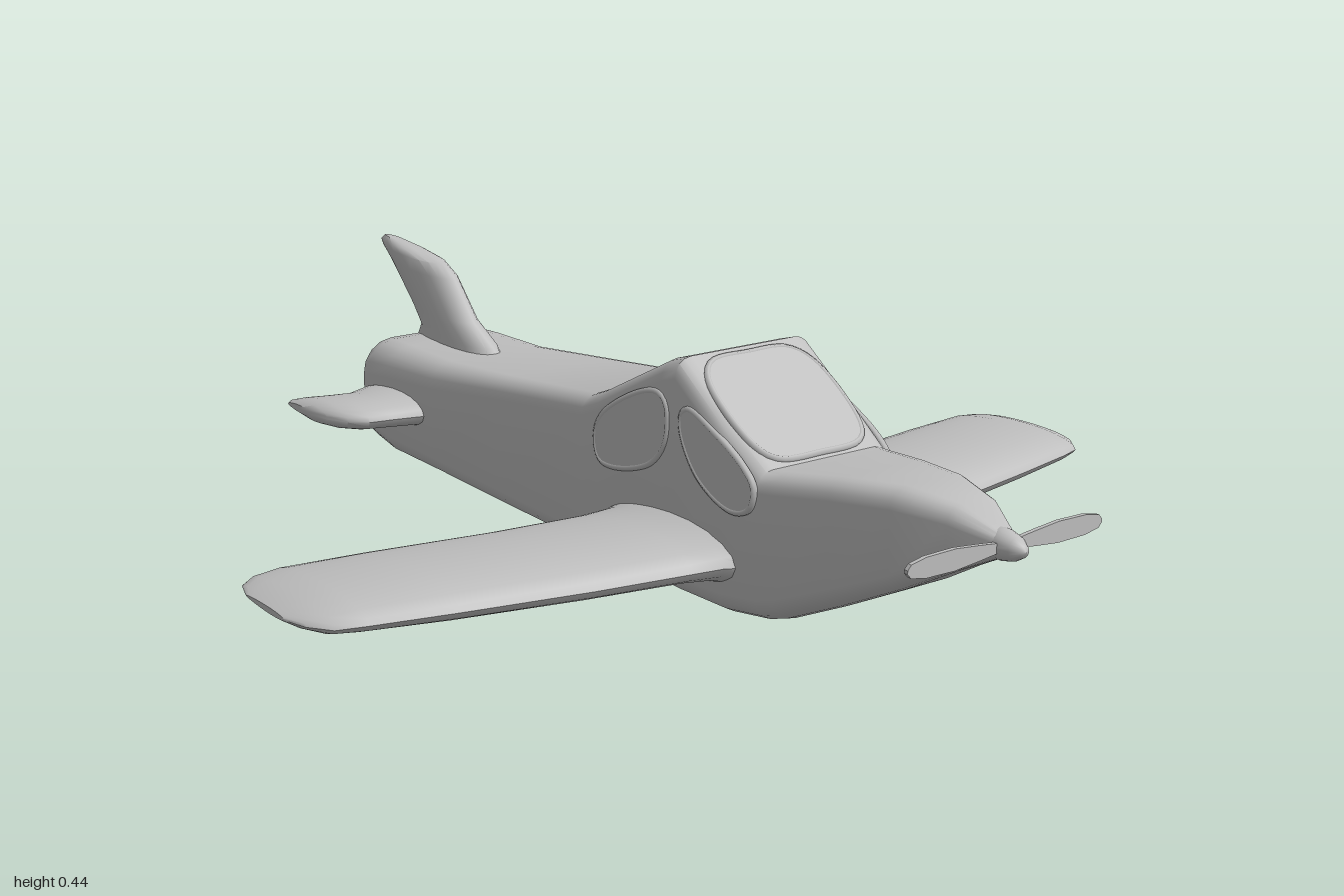
import * as THREE from 'three';
import { toCreasedNormals } from 'three/addons/utils/BufferGeometryUtils.js';

const grey = new THREE.MeshStandardMaterial({ color: 0xbfbfbf });
grey.name = 'grey';

function part(name, geometry) {
  const mesh = new THREE.Mesh(geometry, grey);
  mesh.name = name;
  return mesh;
}

// Closed skin through rings of points, capped at both ends and turned outward
function loft(rings, crease = 0.6) {
  const n = rings[0].length;
  const tris = [];
  for (let i = 0; i + 1 < rings.length; i++) {
    for (let j = 0; j < n; j++) {
      const k = (j + 1) % n;
      const [a, b, c, d] = [rings[i][j], rings[i][k], rings[i + 1][k], rings[i + 1][j]];
      tris.push([a, b, c], [a, c, d]);
    }
  }
  for (const [ring, last] of [[rings[0], false], [rings[rings.length - 1], true]]) {
    const mid = ring.reduce((s, p) => s.add(p), new THREE.Vector3()).divideScalar(n);
    for (let j = 0; j < n; j++) {
      const k = (j + 1) % n;
      tris.push(last ? [mid, ring[j], ring[k]] : [mid, ring[k], ring[j]]);
    }
  }
  const cross = new THREE.Vector3();
  const volume = tris.reduce((v, [a, b, c]) => v + a.dot(cross.crossVectors(b, c)), 0);
  const pts = tris.flatMap(([a, b, c]) => (volume < 0 ? [a, c, b] : [a, b, c]));
  return toCreasedNormals(new THREE.BufferGeometry().setFromPoints(pts), crease);
}

// Fuselage section: box with a wide lower chamfer and rounded upper corners
function hullRing([z, w, y0, y1, cb, ct]) {
  const half = [];
  const corner = (cx, cy, r, ry, from) => {
    for (let i = 0; i <= 4; i++) {
      const a = from + (i / 4) * Math.PI / 2;
      half.push([cx + r * Math.cos(a), cy + ry * Math.sin(a)]);
    }
  };
  corner(w - cb, y0 + cb * 0.8, cb, cb * 0.8, -Math.PI / 2);
  corner(w - ct, y1 - ct, ct, ct, 0);
  const other = half.map(([x, y]) => [-x, y]).reverse();
  return [...half, ...other].map(([x, y]) => new THREE.Vector3(x, y, z));
}

// Lens-shaped section between a rear and a front edge, thicker toward the front
function foil(rear, front, low, high, place) {
  const ring = [];
  for (let i = 0; i < 20; i++) {
    const a = (i / 20) * Math.PI * 2;
    const c = Math.cos(a);
    const along = (rear + front) / 2 + c * (front - rear) / 2;
    const across = (low + high) / 2 + Math.sin(a) * (0.9 + 0.2 * c) * (high - low) / 2;
    ring.push(place(along, across));
  }
  return ring;
}

// Sideways surface from rows of [x, rear z, front z, low y, high y]
const surface = (rows, side) => loft(rows.map(([x, rear, front, low, high]) =>
  foil(rear, front, low, high, (z, y) => new THREE.Vector3(side * x, y, z))), 0.8);

// Thin pane with a raised rounded frame
function pane(name, points) {
  const group = new THREE.Group();
  group.name = name;
  const curve = new THREE.CatmullRomCurve3(points.map(([x, y]) => new THREE.Vector3(x, y, 0)), true);
  const outline = curve.getPoints(48).slice(0, -1).map((p) => new THREE.Vector2(p.x, p.y));
  const glass = new THREE.ExtrudeGeometry(new THREE.Shape(outline), { depth: 0.005, bevelEnabled: false });
  group.add(part('pane', glass), part('frame', new THREE.TubeGeometry(curve, 60, 0.007, 6, true)));
  return group;
}

export function createModel() {
  const plane = new THREE.Group();
  plane.name = 'airplane';

  // Fuselage rows: z, half width, bottom, top, lower corner, upper corner
  const hull = [
    [0.955, 0.022, 0.24, 0.28, 0.015, 0.015],
    [0.88, 0.056, 0.2, 0.312, 0.03, 0.03],
    [0.78, 0.085, 0.142, 0.32, 0.04, 0.035],
    [0.66, 0.113, 0.08, 0.308, 0.05, 0.035],
    [0.55, 0.138, 0.028, 0.292, 0.055, 0.035],
    [0.515, 0.146, 0.018, 0.288, 0.055, 0.035],
    [0.42, 0.15, 0.003, 0.35, 0.055, 0.035],
    [0.29, 0.15, 0, 0.436, 0.05, 0.035],
    [0.25, 0.15, 0, 0.424, 0.05, 0.035],
    [0.05, 0.15, 0, 0.322, 0.05, 0.035],
    [0, 0.15, 0, 0.302, 0.05, 0.035],
    [-0.3, 0.15, 0.001, 0.267, 0.05, 0.04],
    [-0.55, 0.15, 0.003, 0.24, 0.05, 0.05],
    [-0.72, 0.155, 0.006, 0.236, 0.05, 0.06],
    [-0.8, 0.155, 0.015, 0.232, 0.06, 0.065],
    [-0.835, 0.147, 0.03, 0.226, 0.06, 0.07],
    [-0.858, 0.12, 0.05, 0.215, 0.06, 0.065],
    [-0.868, 0.08, 0.08, 0.195, 0.05, 0.05],
  ];
  plane.add(part('fuselage', loft(hull.map(hullRing))));

  // Wings, tailplanes and side windows on both sides
  const wing = [
    [0.12, 0.08, 0.48, 0.04, 0.17], [0.165, 0.095, 0.455, 0.055, 0.155],
    [0.22, 0.09, 0.44, 0.06, 0.145], [0.4, 0.07, 0.41, 0.062, 0.142],
    [0.63, 0.028, 0.36, 0.064, 0.138], [0.78, 0.008, 0.325, 0.07, 0.132],
    [0.83, 0.01, 0.305, 0.075, 0.122], [0.86, 0.035, 0.265, 0.085, 0.112],
    [0.875, 0.08, 0.22, 0.093, 0.105],
  ];
  const tail = [
    [0.1, -0.83, -0.56, 0.08, 0.165], [0.16, -0.82, -0.58, 0.088, 0.16],
    [0.21, -0.8, -0.597, 0.09, 0.155], [0.26, -0.818, -0.608, 0.092, 0.152],
    [0.295, -0.835, -0.635, 0.096, 0.148], [0.318, -0.845, -0.68, 0.102, 0.14],
    [0.328, -0.835, -0.73, 0.112, 0.13],
  ];
  const frontWindow = [[0.51, 0.262], [0.48, 0.292], [0.4, 0.332], [0.33, 0.355], [0.31, 0.34],
    [0.312, 0.305], [0.36, 0.24], [0.45, 0.206], [0.5, 0.222]];
  const rearWindow = [[0.265, 0.345], [0.245, 0.364], [0.195, 0.356], [0.07, 0.284], [0.046, 0.24],
    [0.057, 0.2], [0.1, 0.194], [0.22, 0.232], [0.262, 0.283]];
  for (const side of [1, -1]) {
    const label = side > 0 ? 'left' : 'right';
    plane.add(part(label + 'Wing', surface(wing, side)), part(label + 'Tailplane', surface(tail, side)));
    for (const [name, outline] of [['FrontWindow', frontWindow], ['RearWindow', rearWindow]]) {
      const window = pane(label + name, outline.map(([z, y]) => [-side * z, y]));
      window.rotation.y = side * Math.PI / 2;
      window.position.x = side * 0.148;
      plane.add(window);
    }
  }

  // Windscreen lying on the sloping cabin front
  const screen = pane('windscreen', [[-0.115, -0.08], [-0.09, -0.115], [0, -0.122], [0.09, -0.115],
    [0.115, -0.08], [0.116, 0.07], [0.085, 0.112], [0, 0.118], [-0.085, 0.112], [-0.116, 0.07]]);
  screen.rotation.x = -0.995;
  screen.position.set(0, 0.362, 0.402);
  plane.add(screen);

  // Swept fin rows: y, rear z, front z, half thickness
  const fin = [[0.2, -0.86, -0.5, 0.045], [0.25, -0.83, -0.545, 0.042], [0.29, -0.865, -0.62, 0.038],
    [0.37, -0.955, -0.695, 0.036], [0.395, -0.99, -0.745, 0.032], [0.406, -0.998, -0.83, 0.025],
    [0.416, -0.985, -0.92, 0.01]];
  plane.add(part('tailFin', loft(fin.map(([y, rear, front, t]) =>
    foil(rear, front, -t, t, (z, x) => new THREE.Vector3(x, y, z))), 0.8)));

  // Spinner and two-bladed propeller
  const propeller = new THREE.Group();
  propeller.name = 'propeller';
  propeller.position.y = 0.26;
  const profile = [[0, 0.9], [0.026, 0.92], [0.026, 0.955], [0.02, 0.98], [0.01, 0.996], [0, 1]];
  const spinner = new THREE.LatheGeometry(profile.map(([r, z]) => new THREE.Vector2(r, z)), 20);
  propeller.add(part('spinner', spinner.rotateX(Math.PI / 2)));
  const edge = [[0.01, 0.007], [0.06, 0.013], [0.11, 0.018], [0.17, 0.017], [0.2, 0.011], [0.207, 0.003]];
  const outline = [...edge.map(([x, y]) => [x, -y]), ...edge.slice().reverse()];
  const blade = new THREE.ExtrudeGeometry(
    new THREE.Shape(outline.map(([x, y]) => new THREE.Vector2(x, y))), { depth: 0.008, bevelEnabled: false });
  blade.translate(0, 0, 0.952);
  for (const turn of [0, Math.PI]) {
    const mesh = part('propellerBlade', blade);
    mesh.rotation.z = turn;
    propeller.add(mesh);
  }
  plane.add(propeller);

  return plane;
}
